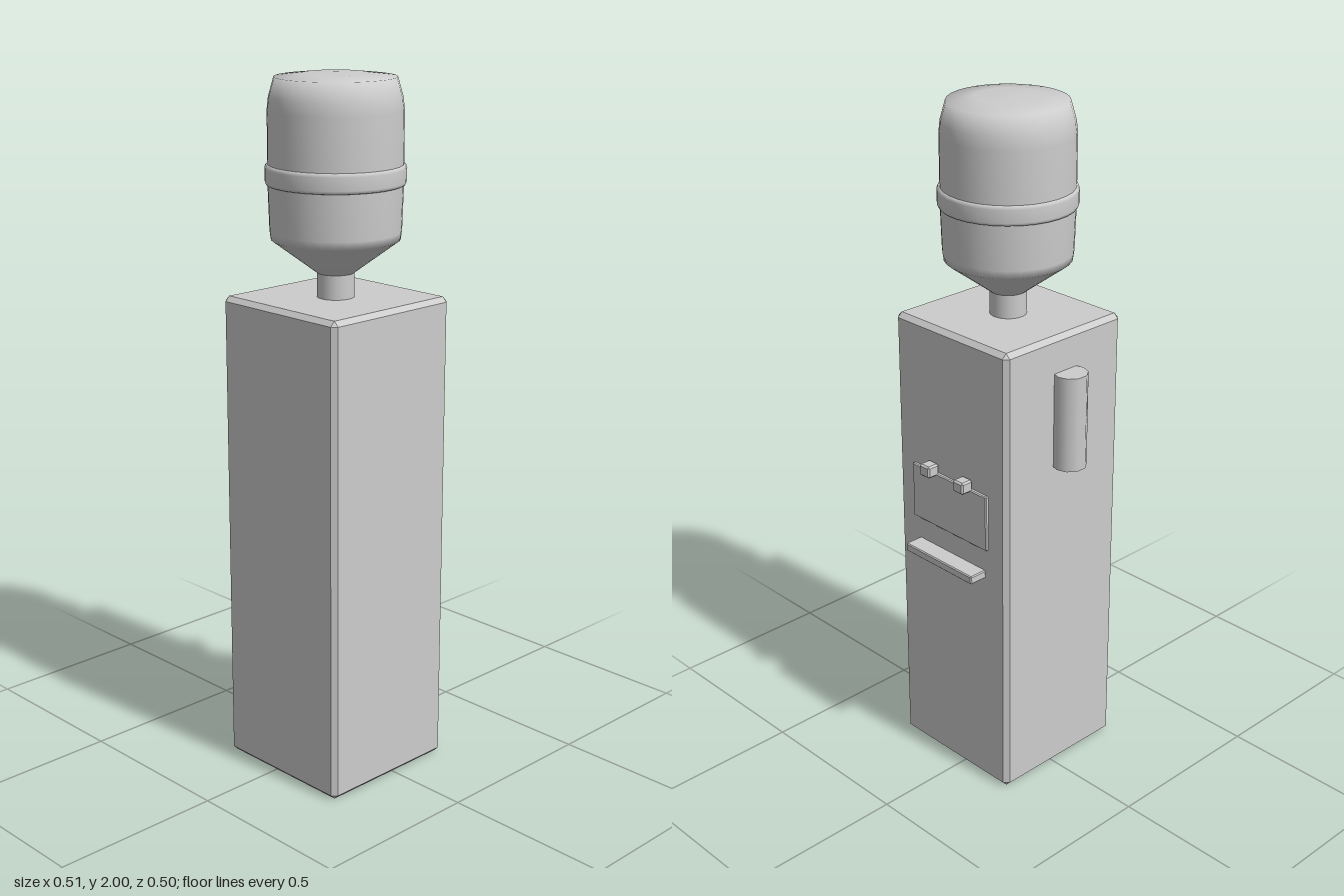
import * as THREE from 'three';
import { ConvexGeometry } from 'three/addons/geometries/ConvexGeometry.js';

// Box with chamfered edges, given its minimum and maximum corners
function chamferBox(min, max, bevel) {
  const points = [];
  const ends = [0, 1];
  for (const i of ends) for (const j of ends) for (const k of ends) {
    const side = [i, j, k];
    for (let axis = 0; axis < 3; axis++) {
      const p = side.map((s, a) => {
        const inset = a === axis ? 0 : bevel;
        return s ? max[a] - inset : min[a] + inset;
      });
      points.push(new THREE.Vector3(...p));
    }
  }
  return new ConvexGeometry(points);
}

function lathe(profile) {
  return new THREE.LatheGeometry(profile.map(([r, y]) => new THREE.Vector2(r, y)), 32);
}

export function createModel() {
  const model = new THREE.Group();
  model.name = 'waterCooler';
  const grey = new THREE.MeshStandardMaterial({ color: 0xcccccc });
  grey.name = 'lightGrey';

  const add = (name, geometry, x = 0, y = 0, z = 0) => {
    const mesh = new THREE.Mesh(geometry, grey);
    mesh.name = name;
    mesh.position.set(x, y, z);
    model.add(mesh);
    return mesh;
  };

  // Cabinet
  add('cabinet', chamferBox([-0.19, 0, -0.197], [0.255, 1.39, 0.248], 0.014));

  // Upturned bottle: neck, funnel, barrel, rounded shoulder and shallow dome
  const bottle = new THREE.Group();
  bottle.name = 'bottle';
  bottle.position.set(0.033, 0, 0.027);
  model.add(bottle);
  bottle.add(add('bottleNeck', lathe([[0.052, 1.385], [0.052, 1.46]])));
  bottle.add(add('bottleBody', lathe([
    [0.052, 1.458], [0.178, 1.552], [0.181, 1.575], [0.185, 1.7], [0.185, 1.757],
    [0.185, 1.9], [0.181, 1.935], [0.166, 1.988], [0.09, 1.997], [0, 2],
  ])));
  bottle.add(add('bottleBand', lathe([
    [0.184, 1.701], [0.19, 1.703], [0.193, 1.711], [0.193, 1.747], [0.19, 1.755], [0.184, 1.757],
  ])));

  // Cup holder on the side
  add('cupHolder', new THREE.CylinderGeometry(0.049, 0.049, 0.28, 10), -0.211, 1.144, 0.027);

  // Tap plate, two taps and drip tray on the back
  add('tapPlate', chamferBox([-0.12, 0.78, -0.207], [0.185, 0.95, -0.19], 0.003));
  for (const x of [-0.037, 0.102]) {
    add('tap', chamferBox([x - 0.02, 0.943, -0.237], [x + 0.02, 0.979, -0.197], 0.005));
  }
  add('dripTray', chamferBox([-0.105, 0.685, -0.252], [0.17, 0.71, -0.19], 0.003));

  return model;
}
